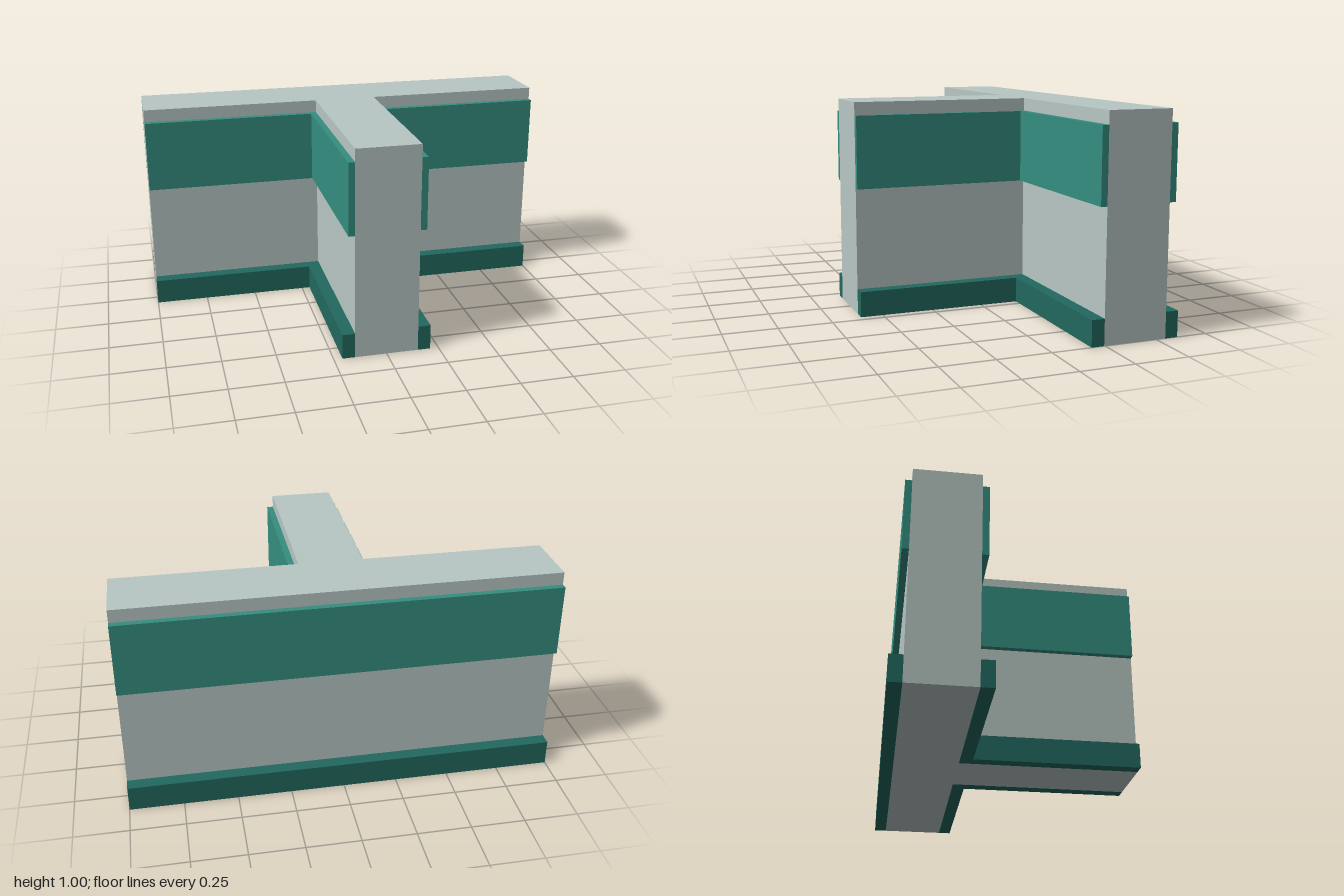
import * as THREE from 'three';

// Plan dimensions of the T-shaped wall
const END = 1, FRONT = 0.605, HALF = 0.15, BACK_Z = -0.545, INNER_Z = -0.245;

// Extrude an [x, z] floor plan upwards from y0 to y1
function extrudePlan(points, y0, y1, material, name) {
  const shape = new THREE.Shape(points.map(([x, z]) => new THREE.Vector2(x, -z)));
  const geometry = new THREE.ExtrudeGeometry(shape, { depth: y1 - y0, bevelEnabled: false });
  geometry.rotateX(-Math.PI / 2).translate(0, y0, 0);
  const mesh = new THREE.Mesh(geometry, material);
  mesh.name = name;
  return mesh;
}

// Trim running along every long face: a straight back strip and two L-shaped inner strips
function makeTrim(name, depth, y0, y1, material) {
  const trim = new THREE.Group();
  trim.name = name;
  trim.add(extrudePlan([
    [-END, BACK_Z - depth], [END, BACK_Z - depth], [END, BACK_Z], [-END, BACK_Z],
  ], y0, y1, material, name + 'Back'));
  for (const [side, s] of [['Left', 1], ['Right', -1]]) {
    trim.add(extrudePlan([
      [s * END, INNER_Z], [s * HALF, INNER_Z], [s * HALF, FRONT],
      [s * (HALF + depth), FRONT], [s * (HALF + depth), INNER_Z + depth], [s * END, INNER_Z + depth],
    ], y0, y1, material, name + side));
  }
  return trim;
}

export function createModel() {
  const wallPaint = new THREE.MeshStandardMaterial({ name: 'paleGrey', color: 0xb8c8c4 });
  const bandPaint = new THREE.MeshStandardMaterial({ name: 'teal', color: 0x358e80 });
  const basePaint = new THREE.MeshStandardMaterial({ name: 'darkTeal', color: 0x22695f });

  const model = new THREE.Group();
  model.name = 'wallJunction';

  // T-shaped wall core
  model.add(extrudePlan([
    [-END, BACK_Z], [END, BACK_Z], [END, INNER_Z], [HALF, INNER_Z],
    [HALF, FRONT], [-HALF, FRONT], [-HALF, INNER_Z], [-END, INNER_Z],
  ], 0, 1, wallPaint, 'wall'));

  // Upper band and skirting
  model.add(makeTrim('upperBand', 0.03, 0.6, 0.94, bandPaint));
  model.add(makeTrim('skirting', 0.06, 0, 0.12, basePaint));
  return model;
}
